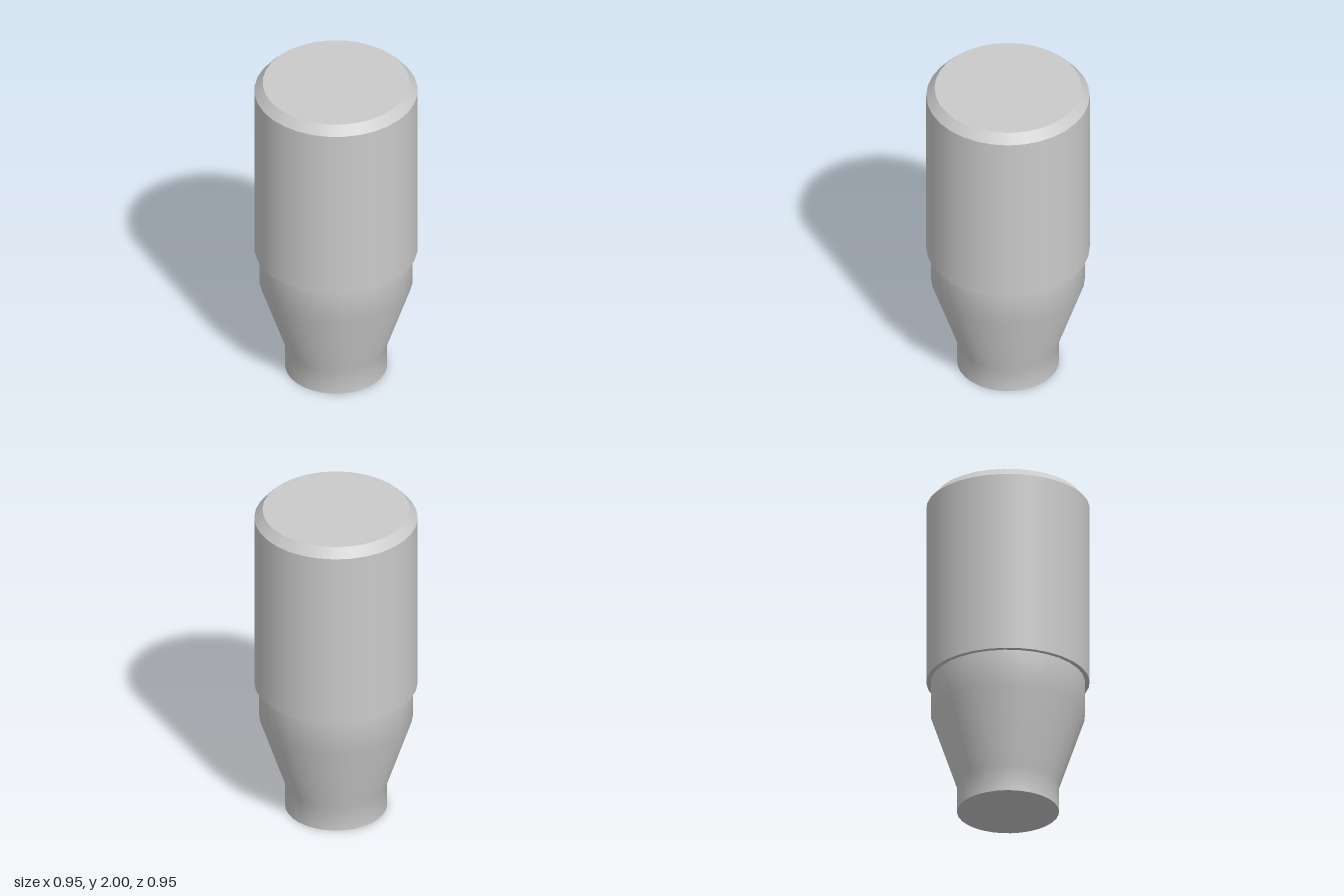
import * as THREE from 'three';

const SIDES = 32;

export function createModel() {
  const model = new THREE.Group();
  const grey = new THREE.MeshStandardMaterial({ color: 0xcacaca });
  grey.name = 'plain grey';

  // Each smooth run of the profile is its own lathe, so edges between runs stay sharp
  const turn = (parent, name, points) => {
    const profile = points.map(([r, y]) => new THREE.Vector2(r, y));
    const mesh = new THREE.Mesh(new THREE.LatheGeometry(profile, SIDES), grey);
    mesh.name = name;
    parent.add(mesh);
  };

  // Lower stem: straight foot, flared neck and short collar
  const stem = new THREE.Group();
  stem.name = 'stem';
  turn(stem, 'footCap', [[0, 0], [0.297, 0]]);
  turn(stem, 'neck', [[0.297, 0], [0.297, 0.16], [0.448, 0.61], [0.448, 0.83]]);

  // Upper barrel: underside lip, wall, bevel and flat top
  const barrel = new THREE.Group();
  barrel.name = 'barrel';
  turn(barrel, 'lip', [[0.448, 0.83], [0.475, 0.83]]);
  turn(barrel, 'wall', [[0.475, 0.83], [0.475, 1.945]]);
  turn(barrel, 'bevel', [[0.475, 1.945], [0.427, 2]]);
  turn(barrel, 'topCap', [[0.427, 2], [0, 2]]);

  model.add(stem, barrel);
  return model;
}
